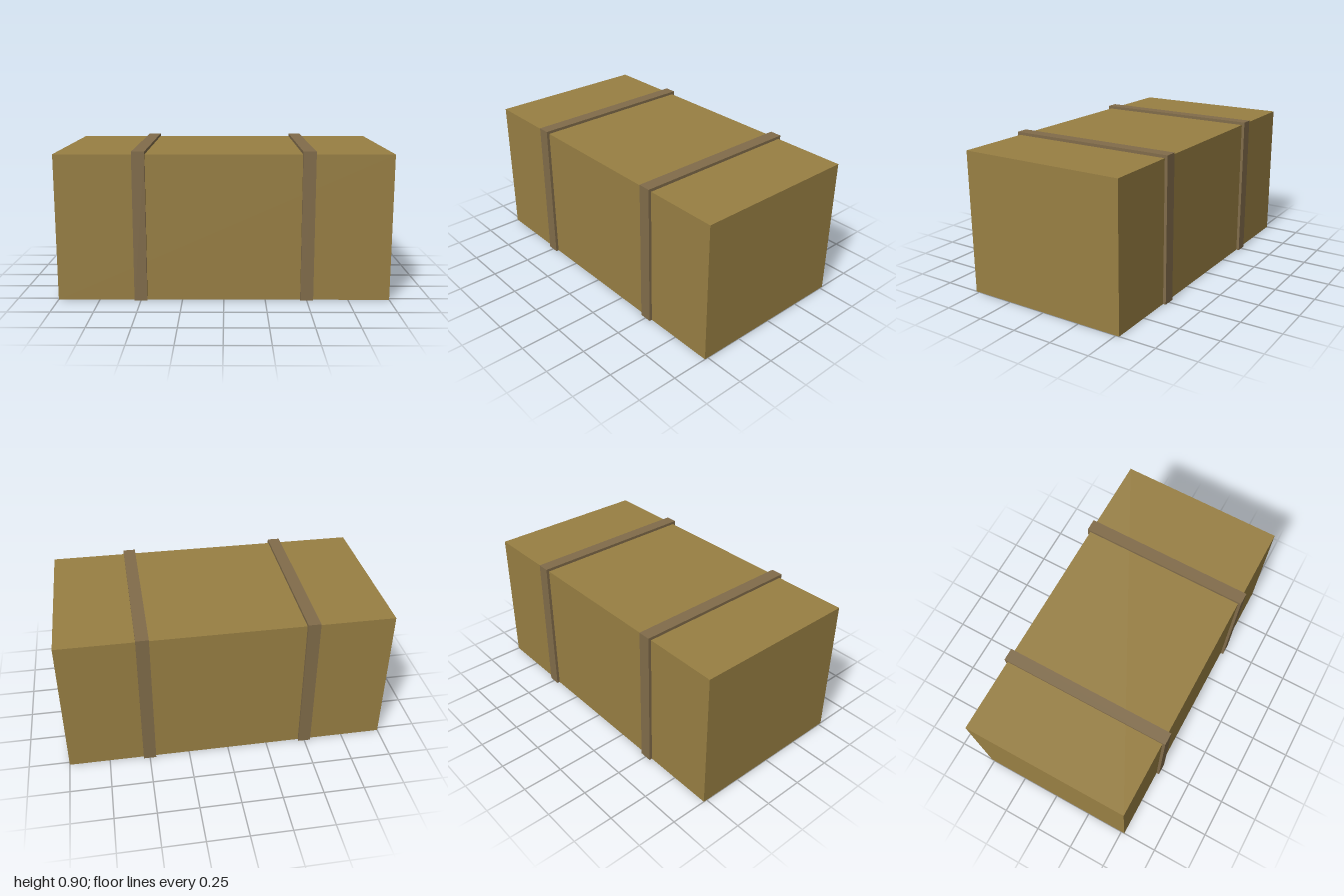
import * as THREE from 'three';

// Box standing on y = 0 with its underside left open
function openBox(width, height, depth) {
  const geometry = new THREE.BoxGeometry(width, height, depth);
  geometry.translate(0, height / 2, 0);
  const index = Array.from(geometry.index.array);
  index.splice(18, 6); // the bottom face
  geometry.setIndex(index);
  geometry.clearGroups();
  return geometry;
}

export function createModel() {
  const model = new THREE.Group();
  model.name = 'strappedCrate';

  const ochre = new THREE.MeshStandardMaterial({ color: 0x987f43, side: THREE.DoubleSide });
  ochre.name = 'ochre';
  const brown = new THREE.MeshStandardMaterial({ color: 0x816c4a, side: THREE.DoubleSide });
  brown.name = 'strapBrown';

  // Main body
  const body = new THREE.Mesh(openBox(2, 0.884, 1.044), ochre);
  body.name = 'crateBody';
  model.add(body);

  // Two straps, each a thin shell slightly larger than the body
  const strapGeometry = openBox(0.077, 0.902, 1.08);
  for (const side of [-1, 1]) {
    const strap = new THREE.Mesh(strapGeometry, brown);
    strap.name = side > 0 ? 'leftStrap' : 'rightStrap';
    strap.position.x = side * 0.5;
    model.add(strap);
  }

  return model;
}
